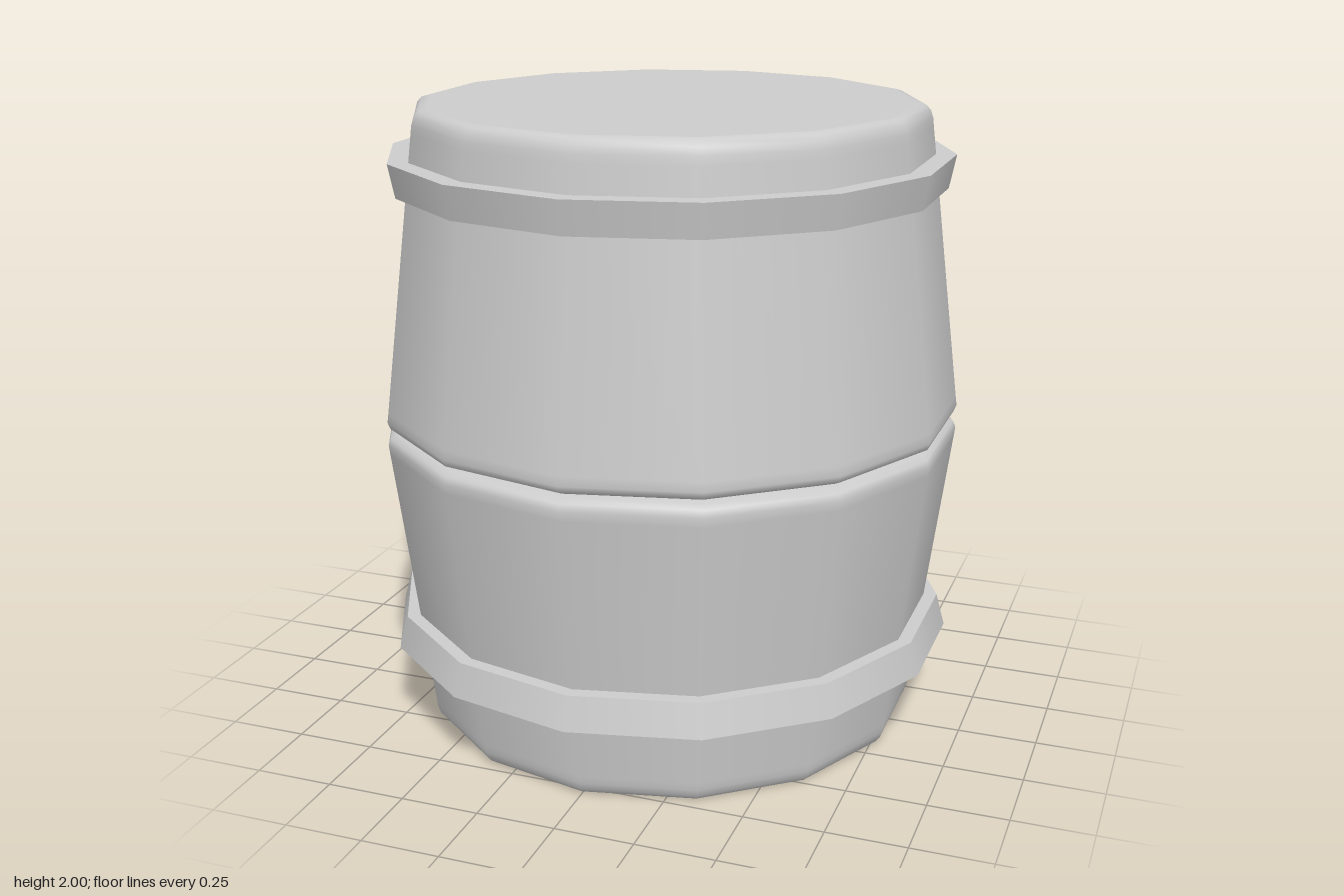
import * as THREE from 'three';
import { mergeGeometries } from 'three/addons/utils/BufferGeometryUtils.js';

const SIDES = 14;

// Each strip is one smooth run of [radius, height]; creases fall between strips.
function turned(name, strips, material) {
  const parts = strips.map((strip) =>
    new THREE.LatheGeometry(strip.map(([r, y]) => new THREE.Vector2(r, y)), SIDES));
  const mesh = new THREE.Mesh(mergeGeometries(parts), material);
  mesh.name = name;
  return mesh;
}

// Trapezoid hoop with sharp edges, wrapped round the body.
function hoop(name, y0, r0, y1, r1, inner, material) {
  return turned(name, [
    [[inner, y0], [r0, y0]],
    [[r0, y0], [r1, y1]],
    [[r1, y1], [inner, y1]],
  ], material);
}

export function createModel() {
  const grey = new THREE.MeshStandardMaterial({ color: 0xcccccc });
  grey.name = 'lightGrey';

  const barrel = new THREE.Group();
  barrel.name = 'barrel';

  // Lower half: flat base, rounded foot, flared wall, rounded lip into the groove
  barrel.add(turned('lowerBody', [
    [[0, 0], [0.765, 0]],
    [[0.765, 0], [0.785, 0.006], [0.798, 0.022], [0.806, 0.045], [0.809, 0.07],
      [0.921, 0.935], [0.925, 0.965], [0.917, 0.986], [0.895, 0.997], [0.86, 1.003]],
  ], grey));

  // Upper half: mirrored taper with a rounded rim and flat lid
  barrel.add(turned('upperBody', [
    [[0.86, 1.003], [0.895, 1.01], [0.917, 1.02], [0.925, 1.041], [0.921, 1.07],
      [0.813, 1.93], [0.81, 1.955], [0.803, 1.978], [0.789, 1.994], [0.765, 2]],
    [[0.765, 2], [0, 2]],
  ], grey));

  // Hoops
  barrel.add(hoop('lowerHoop', 0.275, 0.92, 0.38, 0.892, 0.8, grey));
  barrel.add(hoop('upperHoop', 1.74, 0.867, 1.845, 0.888, 0.8, grey));

  return barrel;
}
